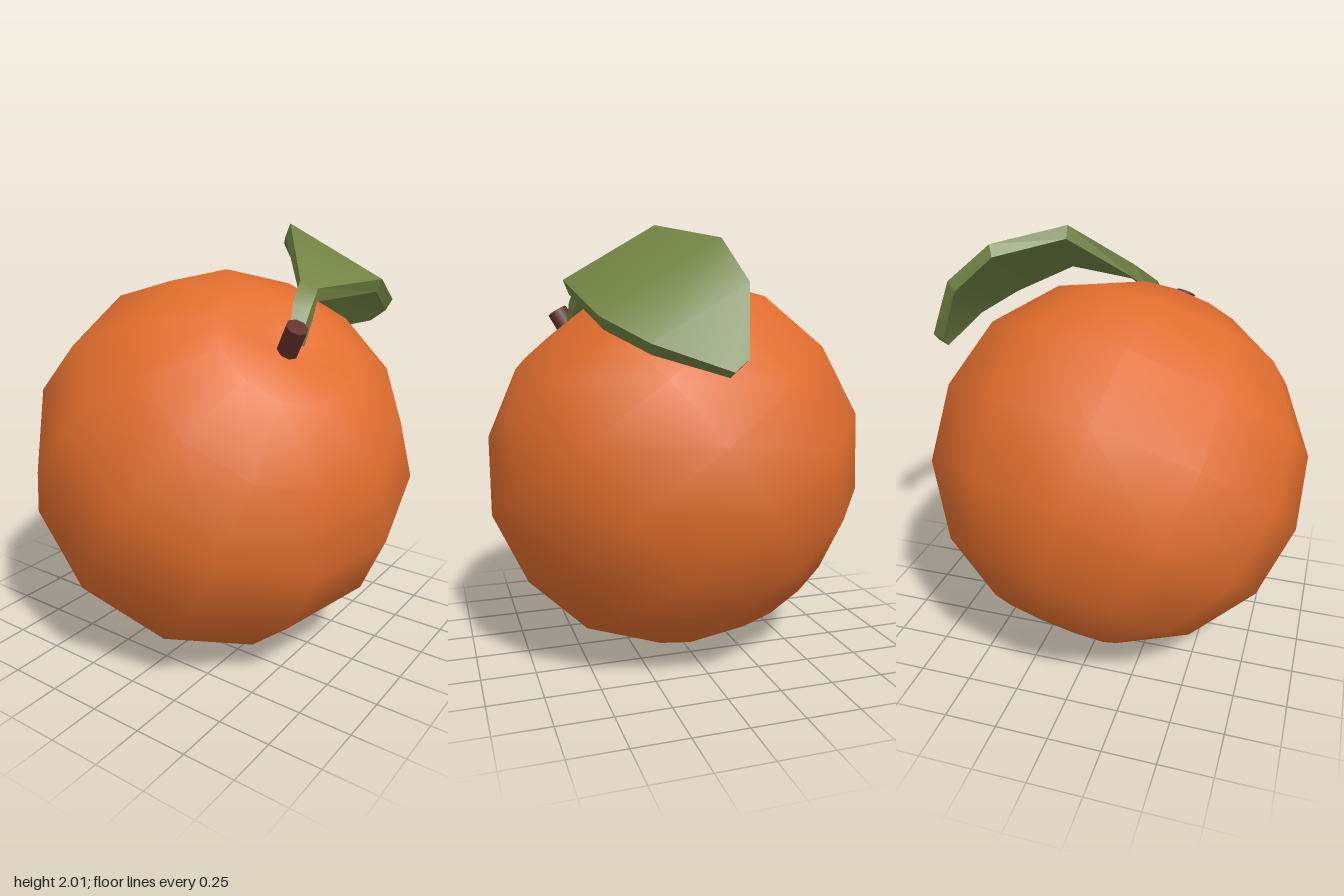
import * as THREE from 'three';
import { mergeGeometries } from 'three/addons/utils/BufferGeometryUtils.js';

const V = (x, y, z) => new THREE.Vector3(x, y, z);

// Ribbon of quads between two equally long rows of points
function strip(a, b, flat) {
  const pos = [], index = [];
  a.forEach((p, i) => {
    pos.push(...p.toArray(), ...b[i].toArray());
    if (i) {
      const k = 2 * i;
      index.push(k - 2, k - 1, k + 1, k - 2, k + 1, k);
    }
  });
  let g = new THREE.BufferGeometry();
  g.setAttribute('position', new THREE.Float32BufferAttribute(pos, 3));
  g.setIndex(index);
  if (!flat) g.computeVertexNormals();
  g = g.toNonIndexed();
  if (flat) g.computeVertexNormals();
  return g;
}

export function createModel() {
  const group = new THREE.Group();
  const mat = (name, color) => {
    const m = new THREE.MeshStandardMaterial({ color });
    m.name = name;
    return m;
  };
  const add = (name, geometry, material) => {
    const mesh = new THREE.Mesh(geometry, material);
    mesh.name = name;
    group.add(mesh);
    return mesh;
  };
  const peel = mat('orange peel', 0xe06d2d);
  const green = mat('leaf green', 0x728343);
  const bark = mat('stem brown', 0x612f2a);

  // Fruit: twelve-sided ball with flattened poles, tilted towards the front
  const half = [[0, 0.79], [0.325, 0.828], [0.63, 0.655], [0.853, 0.355]];
  const profile = [
    ...half.map(([r, h]) => new THREE.Vector2(r, -h)),
    new THREE.Vector2(0.922, 0),
    ...half.map(([r, h]) => new THREE.Vector2(r, h)).reverse(),
  ];
  const axis = V(-0.22, 0.78, 0.585).normalize();
  const side = axis.clone().cross(V(0.1, -0.577, 0.81)).normalize();
  const fruit = add('fruit', new THREE.LatheGeometry(profile, 12), peel);
  fruit.quaternion.setFromRotationMatrix(
    new THREE.Matrix4().makeBasis(side, axis, side.clone().cross(axis)));
  fruit.position.set(-0.04, 0.89, 0);

  // Stem
  const foot = V(-0.2, 1.49, 0.455), tip = V(-0.237, 1.625, 0.53);
  const dir = tip.clone().sub(foot);
  const stem = add('stem', new THREE.CylinderGeometry(0.05, 0.05, dir.length(), 8), bark);
  stem.position.copy(foot).add(tip).multiplyScalar(0.5);
  stem.quaternion.setFromUnitVectors(V(0, 1, 0), dir.normalize());

  // Leaf stations: back edge, front edge, offset to the underside
  const stations = [
    [V(-0.18, 1.57, 0.46), V(-0.16, 1.55, 0.5), V(0.04, -0.03, 0)],
    [V(-0.11, 1.7, 0.43), V(-0.08, 1.67, 0.5), V(0.04, -0.05, -0.01)],
    [V(0, 1.78, 0.4), V(0.02, 1.75, 0.48), V(0.01, -0.06, -0.01)],
    [V(0.27, 2, 0.18), V(0.39, 1.76, 0.61), V(0, -0.06, -0.025)],
    [V(0.59, 1.93, -0.01), V(0.7, 1.62, 0.53), V(-0.02, -0.055, -0.025)],
    [V(0.8, 1.75, -0.05), V(0.87, 1.52, 0.37), V(-0.04, -0.045, -0.015)],
    [V(0.93, 1.46, 0), V(0.935, 1.41, 0.06), V(-0.05, -0.025, 0)],
  ];
  const back = stations.map(s => s[0]), front = stations.map(s => s[1]);
  const backLow = stations.map(s => s[0].clone().add(s[2]));
  const frontLow = stations.map(s => s[1].clone().add(s[2]));
  const n = stations.length - 1;
  add('leaf', mergeGeometries([
    strip(back, front),
    strip(frontLow, backLow),
    strip(front, frontLow, true),
    strip(backLow, back, true),
    strip([back[0], front[0]], [backLow[0], frontLow[0]], true),
    strip([front[n], back[n]], [frontLow[n], backLow[n]], true),
  ]), green);

  return group;
}
